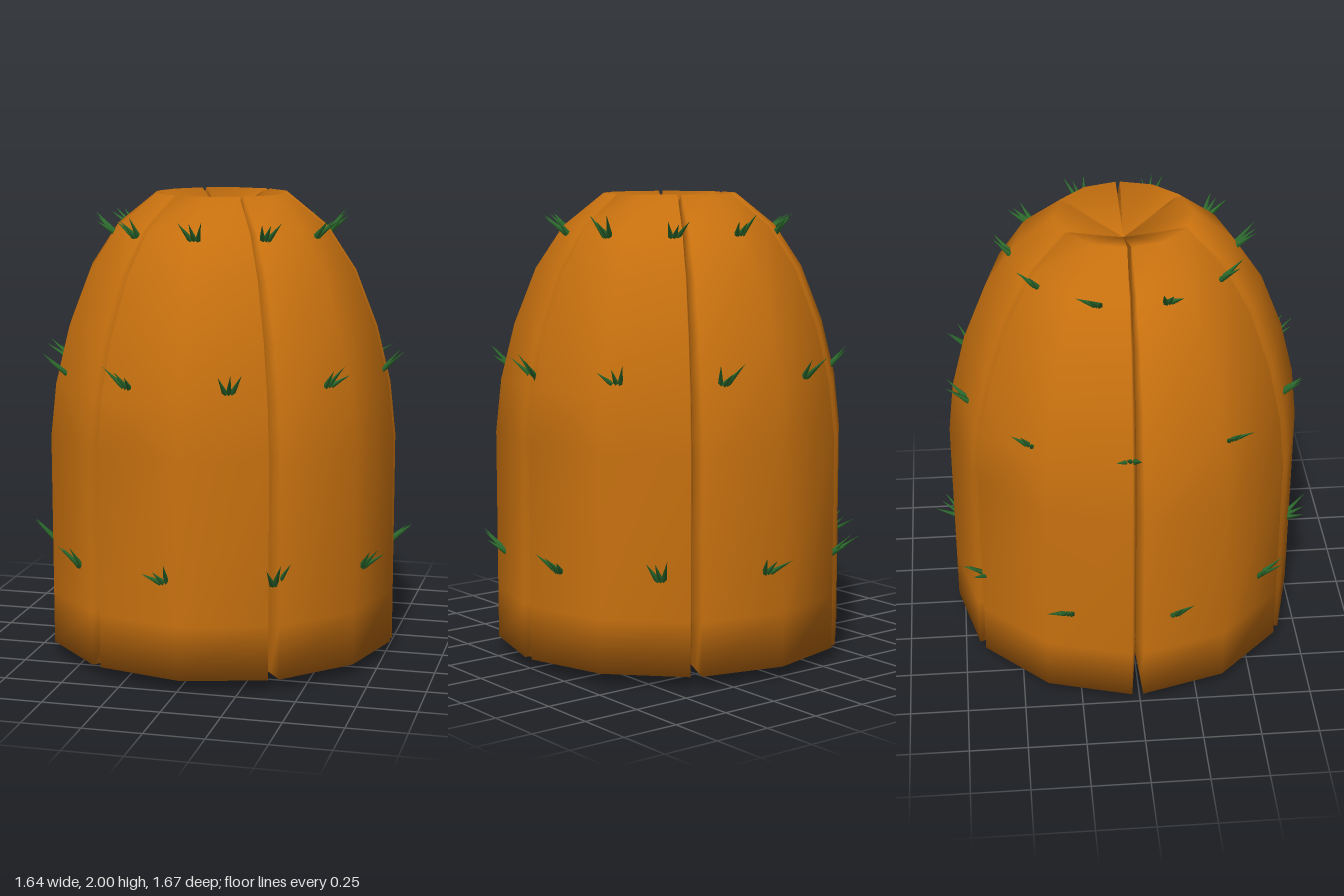
import * as THREE from 'three';

const rad = THREE.MathUtils.degToRad;

// Body silhouette from foot to crown: [radius, height, height at the axis, wall angle]
const RINGS = [
  [0.765, 0.05, 0.0, 28.2],
  [0.765, 0.28, 0.26, 30.2],
  [0.765, 0.97, 0.92, 30.2],
  [0.74, 1.2, 1.14, 30.2],
  [0.68, 1.44, 1.37, 30.2],
  [0.585, 1.68, 1.59, 30.2],
  [0.465, 1.86, 1.77, 29.8],
  [0.29, 2.0, 1.89, 28.2],
];

// One rib: a wedge with a ridge, two corners and slightly bulging side walls
function ribGeometry() {
  const pos = [], idx = [], cols = 6;
  for (const [r, y, axisY, wall] of RINGS) {
    const outline = [[0, 0], [0.84, -wall], [1, -28.2], [1, 0], [1, 28.2], [0.84, wall]];
    for (const [f, deg] of outline) {
      const a = rad(deg);
      pos.push(r * f * Math.sin(a), THREE.MathUtils.lerp(axisY, y, f), r * f * Math.cos(a));
    }
  }
  for (let i = 0; i < RINGS.length - 1; i++) {
    for (let j = 0; j < cols; j++) {
      const a = i * cols + j, b = i * cols + (j + 1) % cols;
      idx.push(a, b, b + cols, a, b + cols, a + cols);
    }
  }
  // Closed foot and crown
  const top = (RINGS.length - 1) * cols;
  for (let j = 1; j < cols - 1; j++) {
    idx.push(0, j + 1, j);
    idx.push(top, top + j, top + j + 1);
  }
  const geo = new THREE.BufferGeometry();
  geo.setAttribute('position', new THREE.Float32BufferAttribute(pos, 3));
  geo.setIndex(idx);
  geo.computeVertexNormals();
  return geo;
}

// Small seeded generator for the variation between spines
function seeded(seed) {
  return () => {
    seed = (seed * 16807) % 2147483647;
    return seed / 2147483647;
  };
}

export function createModel() {
  const model = new THREE.Group();
  model.name = 'cactus';
  const skin = new THREE.MeshStandardMaterial({ color: 0xc8710f });
  const green = new THREE.MeshStandardMaterial({ color: 0x2f7030 });

  // Six ribs around the axis
  const body = new THREE.Group();
  body.name = 'body';
  body.position.set(0.005, 0, -0.012);
  const ribGeo = ribGeometry();
  for (let i = 0; i < 6; i++) {
    const rib = new THREE.Mesh(ribGeo, skin);
    rib.name = 'rib';
    rib.rotation.y = i * Math.PI / 3;
    body.add(rib);
  }
  model.add(body);

  // Three staggered rows of ten spine clusters
  const spineGeo = new THREE.ConeGeometry(0.014, 1, 5).translate(0, 0.5, 0);
  const rand = seeded(77);
  const up = new THREE.Vector3(0, 1, 0);
  const rows = [
    { y: 0.45, r: 0.735, offset: -5, length: 0.13 },
    { y: 1.24, r: 0.695, offset: 16, length: 0.125 },
    { y: 1.83, r: 0.465, offset: 0, length: 0.11 },
  ];
  for (const { y, r, offset, length } of rows) {
    for (let i = 0; i < 10; i++) {
      const cluster = new THREE.Group();
      cluster.name = 'spineCluster';
      const a = rad(offset + i * 36);
      cluster.position.set(r * Math.sin(a), y, r * Math.cos(a));
      cluster.rotation.y = a;
      const lean = (rand() - 0.5) * 0.4;
      for (let k = -1; k <= 1; k++) {
        const spine = new THREE.Mesh(spineGeo, green);
        spine.name = 'spine';
        const dir = new THREE.Vector3(k * 0.35 + lean, 0.75 + (rand() - 0.5) * 0.5, 0.8).normalize();
        spine.quaternion.setFromUnitVectors(up, dir);
        spine.position.x = k * 0.012;
        spine.scale.y = length * (0.85 + rand() * 0.35);
        cluster.add(spine);
      }
      body.add(cluster);
    }
  }
  return model;
}
